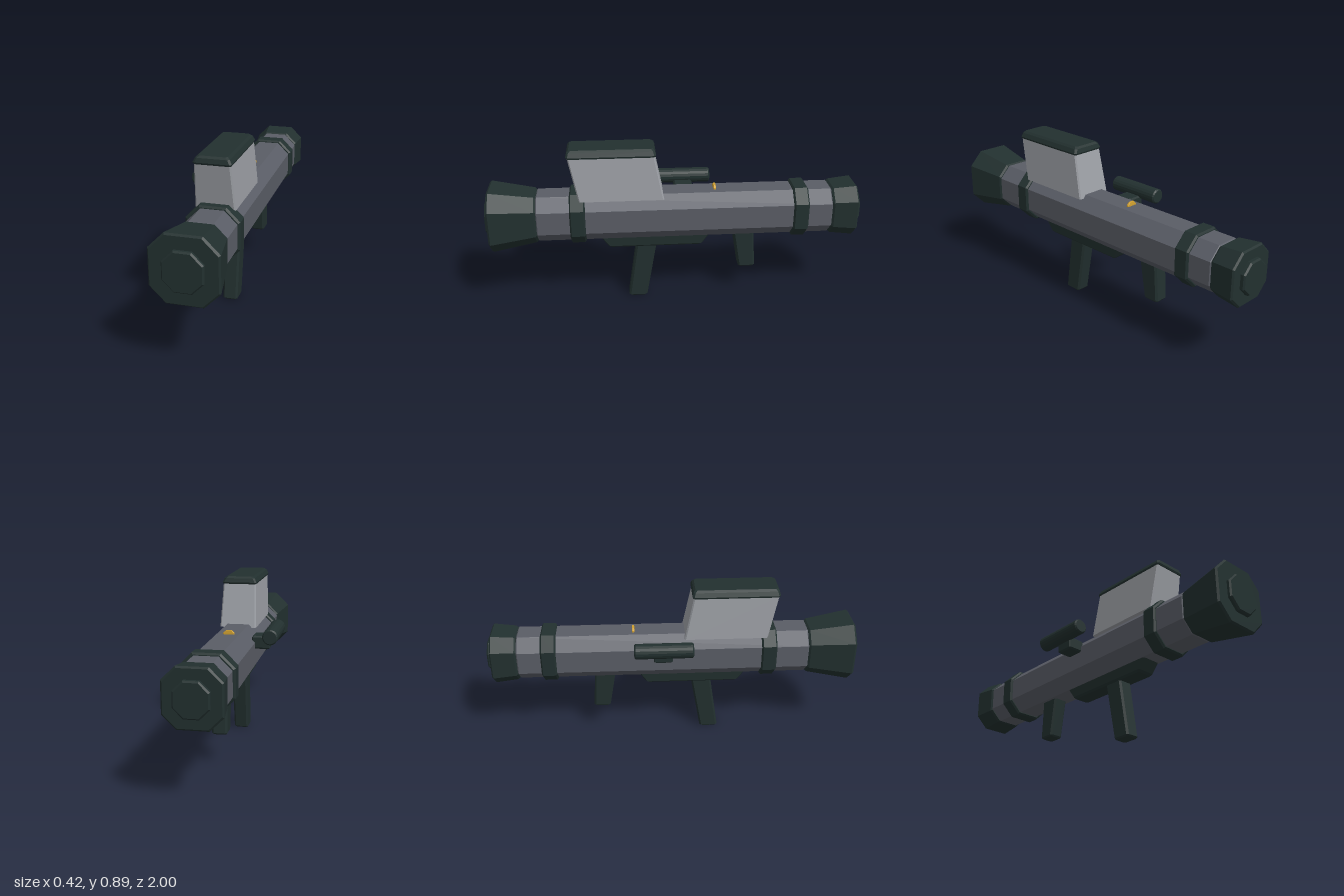
import * as THREE from 'three';

const mat = (name, color) => Object.assign(
  new THREE.MeshStandardMaterial({ color: new THREE.Color(color) }), { name });

// Skin a stack of equal-length rings, capped at both ends, with flat facets.
function loft(rings) {
  const pos = [];
  const tri = (...pts) => pts.forEach(p => pos.push(p[0], p[1], p[2]));
  const n = rings[0].length, last = rings.length - 1;
  for (let i = 0; i < last; i++) {
    for (let j = 0; j < n; j++) {
      const k = (j + 1) % n;
      const a = rings[i][j], b = rings[i][k], c = rings[i + 1][k], d = rings[i + 1][j];
      tri(a, b, c);
      tri(a, c, d);
    }
  }
  for (let j = 1; j < n - 1; j++) {
    tri(rings[0][0], rings[0][j + 1], rings[0][j]);
    tri(rings[last][0], rings[last][j], rings[last][j + 1]);
  }
  const g = new THREE.BufferGeometry();
  g.setAttribute('position', new THREE.Float32BufferAttribute(pos, 3));
  g.computeVertexNormals();
  return g;
}

// Corner-cut rectangle, counter-clockwise.
const cutRect = (hu, hv, c) => [
  [hu, -hv + c], [hu, hv - c], [hu - c, hv], [-hu + c, hv],
  [-hu, hv - c], [-hu, -hv + c], [-hu + c, -hv], [hu - c, -hv]];

const CX = 0.045, CY = 0.511;

// Octagonal body along z; sections are [z, half width], back to front.
const barrel = (sections, flat = 0.48) => loft(sections.map(([z, h]) =>
  cutRect(h, h * 1.02, h * (1 - flat)).map(([u, v]) => [CX + u, CY + v, z])));

// Leaning block along y; sections are [y, back z, front z, half width], bottom to top.
const block = (sections, x, cut) => loft(sections.map(([y, z0, z1, h]) =>
  cutRect(h, (z1 - z0) / 2, cut).map(([u, v]) => [x + u, y, (z0 + z1) / 2 - v])));

export function createModel() {
  const group = new THREE.Group();
  const dark = mat('darkGreen', 0x22302f);
  const grey = mat('tubeGrey', 0x5a5d66);
  const light = mat('sightGrey', 0x9da0a6);
  const gold = mat('gold', 0xd0a030);
  const add = (name, geometry, material) => {
    const m = new THREE.Mesh(geometry, material);
    m.name = name;
    group.add(m);
    return m;
  };

  // Main tube
  add('tube', barrel([[-0.84, 0.117], [-0.832, 0.124], [0.727, 0.124], [0.735, 0.117]]), grey);

  // Flared ends with raised end discs
  add('frontFlare', barrel([[0.732, 0.12], [0.742, 0.128], [0.97, 0.166], [0.98, 0.158]], 0.53), dark);
  add('frontDisc', barrel([[0.97, 0.097], [0.992, 0.097], [1.0, 0.09]], 0.43), dark);
  add('rearFlare', barrel([[-0.976, 0.132], [-0.968, 0.14], [-0.848, 0.128], [-0.838, 0.12]], 0.53), dark);
  add('rearDisc', barrel([[-1.0, 0.077], [-0.992, 0.084], [-0.96, 0.084]], 0.43), dark);

  // Clamp bands
  [0.517, -0.669].forEach((z, i) => add(i ? 'rearBand' : 'frontBand', barrel(
    [[z - 0.041, 0.128], [z - 0.033, 0.137], [z + 0.033, 0.137], [z + 0.041, 0.128]], 0.5), dark));

  // Sight housing and its bevelled lid
  add('sightHousing', block([[0.62, 0.06, 0.507, 0.101], [0.86, 0.108, 0.555, 0.09]], CX, 0.007), light);
  add('sightLid', block([[0.855, 0.104, 0.558, 0.092], [0.864, 0.1, 0.562, 0.095],
    [0.886, 0.106, 0.556, 0.084], [0.896, 0.116, 0.546, 0.072]], CX, 0.01), dark);

  // Grip mount and the two grips
  add('gripMount', block([[0.322, -0.14, 0.35, 0.043], [0.332, -0.15, 0.362, 0.053],
    [0.392, -0.19, 0.405, 0.057]], CX, 0.008), dark);
  add('frontGrip', block([[0.004, 0.163, 0.25, 0.034], [0.012, 0.155, 0.257, 0.04],
    [0.335, 0.1, 0.21, 0.042]], CX, 0.01), dark);
  add('rearGrip', block([[0.167, -0.44, -0.36, 0.034], [0.175, -0.447, -0.354, 0.04],
    [0.395, -0.432, -0.317, 0.042]], CX, 0.01), dark);

  // Side knob on a short bracket
  const profile = [[0, -0.155], [0.034, -0.155], [0.041, -0.148],
    [0.041, 0.148], [0.034, 0.155], [0, 0.155]].map(p => new THREE.Vector2(...p));
  const knob = new THREE.LatheGeometry(profile, 18).toNonIndexed();
  knob.computeVertexNormals();
  knob.rotateX(Math.PI / 2).translate(-0.173, 0.625, -0.055);
  add('sideKnob', knob, dark);
  add('knobBracket', block([[0.54, -0.1, -0.015, 0.041], [0.548, -0.108, -0.007, 0.049],
    [0.602, -0.108, -0.007, 0.049], [0.61, -0.1, -0.015, 0.041]], -0.111, 0.006), dark);

  // Small rear sight blade
  add('sightBlade', block([[0.63, -0.221, -0.207, 0.031], [0.645, -0.221, -0.207, 0.029],
    [0.658, -0.22, -0.208, 0.016]], 0.04, 0.003), gold);

  return group;
}
